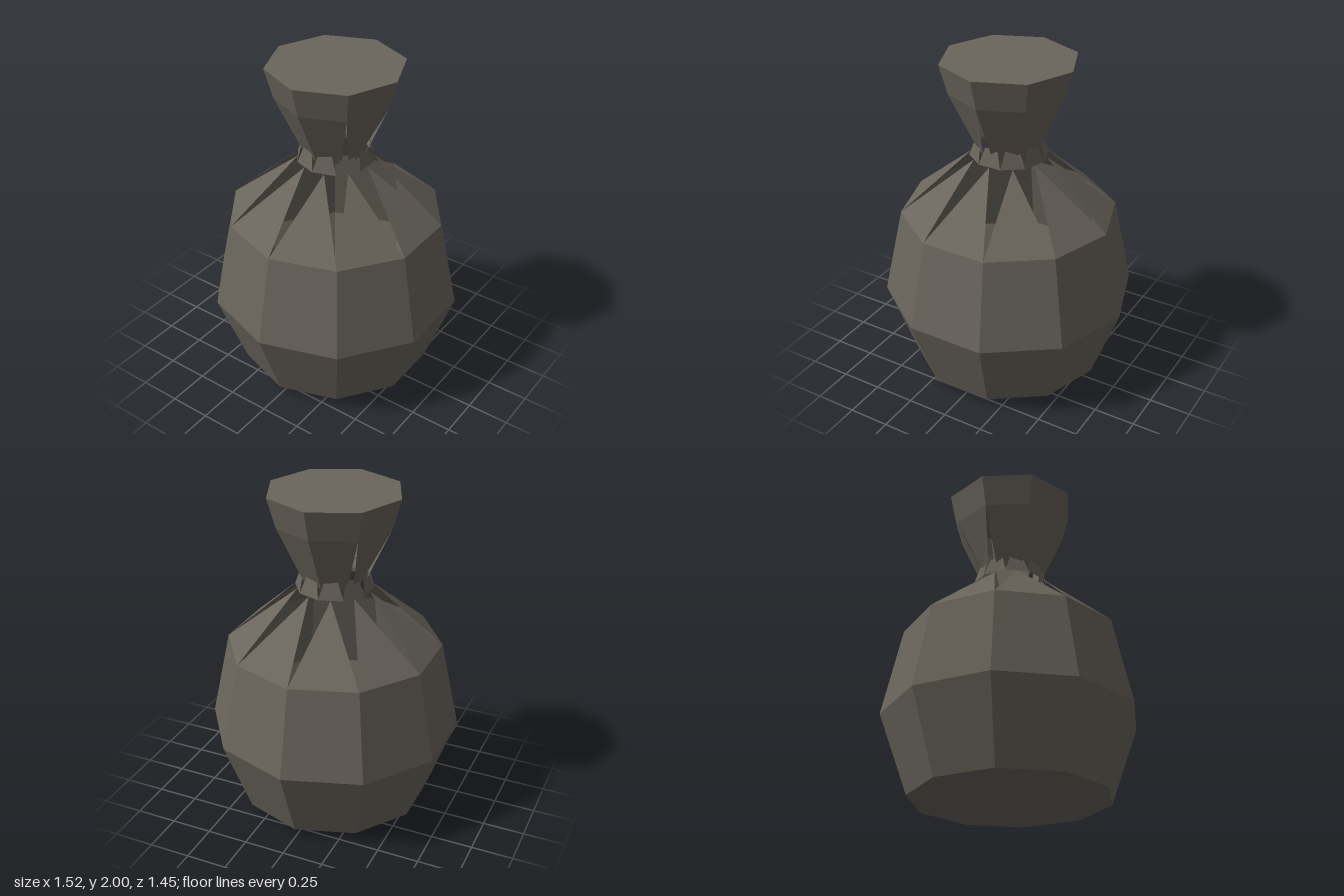
import * as THREE from 'three';

const DEG = Math.PI / 180;
const material = new THREE.MeshStandardMaterial({
  color: 0x6a655c, flatShading: true, side: THREE.DoubleSide,
});

// point at angle (degrees from +x towards +z), radius and height
const polar = (a, r, y) => new THREE.Vector3(r * Math.cos(a * DEG), y, r * Math.sin(a * DEG));

// one mesh from a list of convex polygons, corners anticlockwise from outside
function panels(name, polygons) {
  const points = [];
  for (const p of polygons)
    for (let i = 1; i < p.length - 1; i++) points.push(p[0], p[i], p[i + 1]);
  const geometry = new THREE.BufferGeometry().setFromPoints(points);
  geometry.computeVertexNormals();
  const mesh = new THREE.Mesh(geometry, material);
  mesh.name = name;
  return mesh;
}

function lathe(name, profile, sides) {
  const points = profile.map(([r, y]) => new THREE.Vector2(r, y));
  const mesh = new THREE.Mesh(new THREE.LatheGeometry(points, sides, Math.PI / 2), material);
  mesh.name = name;
  return mesh;
}

export function createModel() {
  const group = new THREE.Group();
  group.name = 'tiedSack';

  // ten-sided belly with a shallow pointed base
  group.add(lathe('belly', [[0, 0], [0.59, 0.06], [0.76, 0.53], [0.645, 1.06]], 10));

  // shoulder flaps and the tapered tabs of the tie, one per belly side
  const flaps = [], tabs = [];
  for (let i = 0; i < 10; i++) {
    const a = i * 36, b = a + 36, mid = a + 18;
    flaps.push([polar(b, 0.645, 1.06), polar(a, 0.645, 1.06), polar(mid, 0.22, 1.42)]);
    tabs.push([
      polar(b, 0.232, 1.42), polar(a, 0.232, 1.42),
      polar(mid - 11.5, 0.199, 1.525), polar(mid + 11.5, 0.199, 1.525),
    ]);
  }
  group.add(panels('shoulderFlaps', flaps), panels('tieTabs', tabs));

  // eight-sided flared mouth, closed on top
  group.add(lathe('mouth', [[0.35, 1.82], [0.4, 2], [0, 2]], 8));

  // neck panels; one narrow panel on each side leaves slits beside it
  const neck = [];
  for (let i = 0; i < 8; i++) {
    const a = i * 45, b = a + 45;
    const narrow = i % 4 === 2;
    const low = narrow ? a + 20 : a, high = narrow ? b - 13 : b;
    neck.push([
      polar(high, 0.19, 1.47), polar(low, 0.19, 1.47),
      polar(a, 0.35, 1.82), polar(b, 0.35, 1.82),
    ]);
  }
  group.add(panels('neckPanels', neck));

  return group;
}
